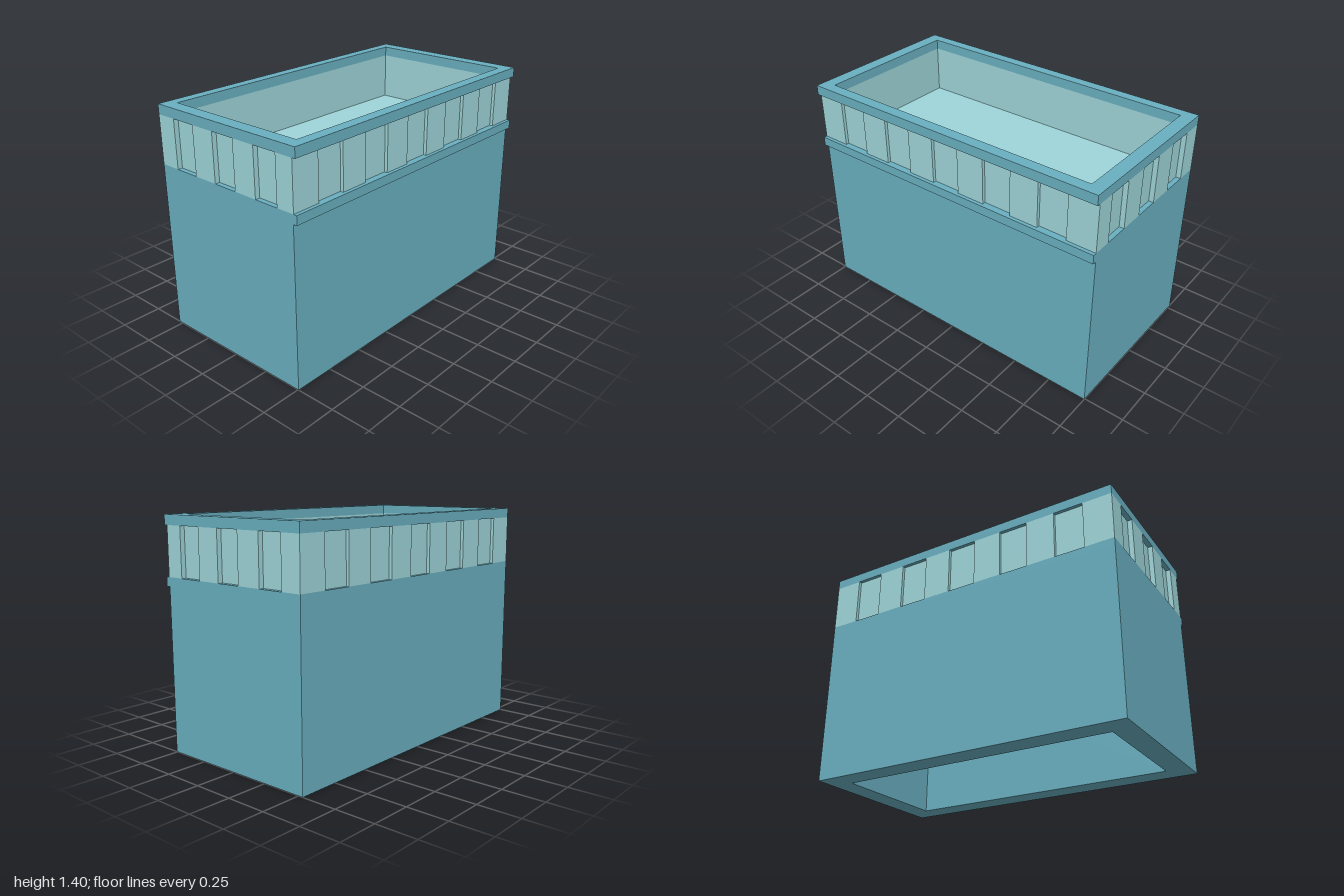
import * as THREE from 'three';

const teal = new THREE.MeshStandardMaterial({ color: 0x6ab0c1 });
const pale = new THREE.MeshStandardMaterial({ color: 0x9fd6da });

const WEST = -0.53, EAST = 0.53, WALL_EAST = 0.505;
const BODY_TOP = 0.99, LEDGE_TOP = 1.045, PARAPET_TOP = 1.34, TOP = 1.4;

const rect = (x0, x1, z) => [[x0, -z], [x1, -z], [x1, z], [x0, z]].map(p => new THREE.Vector2(...p));

// Vertical extrusion of a plan outline with an optional hole
function slab(name, outline, hole, y0, y1, material) {
  const shape = new THREE.Shape(outline);
  if (hole) shape.holes.push(new THREE.Path(hole));
  const geometry = new THREE.ExtrudeGeometry(shape, { depth: y1 - y0, bevelEnabled: false });
  geometry.rotateX(-Math.PI / 2).translate(0, y0, 0);
  const mesh = new THREE.Mesh(geometry, material);
  mesh.name = name;
  return mesh;
}

// Plan outline with shallow panels cut into all four sides
function notchedOutline(x0, x1, z) {
  const endPanels = [[-0.4, -0.24], [-0.08, 0.08], [0.235, 0.392]];
  const sidePanels = [-0.727, -0.363, 0, 0.363, 0.727].map(c => [c - 0.092, c + 0.092]);
  const endDepth = 0.03, sideDepth = 0.02;
  const points = [];
  const add = (x, y) => points.push(new THREE.Vector2(x, y));
  const notch = (a, b, edge, inner, place) => {
    place(a, edge); place(a, inner); place(b, inner); place(b, edge);
  };
  add(x0, -z);
  for (const [a, b] of endPanels) notch(a, b, -z, -z + endDepth, (t, e) => add(t, e));
  add(x1, -z);
  for (const [a, b] of sidePanels) notch(a, b, x1, x1 - sideDepth, (t, e) => add(e, t));
  add(x1, z);
  for (const [a, b] of [...endPanels].reverse()) notch(b, a, z, z - endDepth, (t, e) => add(t, e));
  add(x0, z);
  for (const [a, b] of [...sidePanels].reverse()) notch(b, a, x0, x0 + sideDepth, (t, e) => add(e, t));
  return points;
}

export function createModel() {
  const group = new THREE.Group();
  group.name = 'building';
  const inner = () => rect(-0.465, 0.46, 0.918);

  group.add(
    // Hollow body, open underneath
    slab('bodyWalls', rect(WEST, WALL_EAST, 1), rect(WEST + 0.14, WALL_EAST - 0.14, 0.86), 0, BODY_TOP, teal),
    // Ledge projecting on one long side
    slab('ledge', rect(WEST, EAST, 1), inner(), BODY_TOP, LEDGE_TOP, teal),
    slab('roofDeck', inner(), null, BODY_TOP, LEDGE_TOP, pale),
    // Parapet with recessed panels, and its coping
    slab('parapet', notchedOutline(WEST, 0.508, 1), inner(), LEDGE_TOP, PARAPET_TOP, pale),
    slab('coping', rect(WEST, EAST, 1), inner(), PARAPET_TOP, TOP, teal),
  );
  return group;
}
